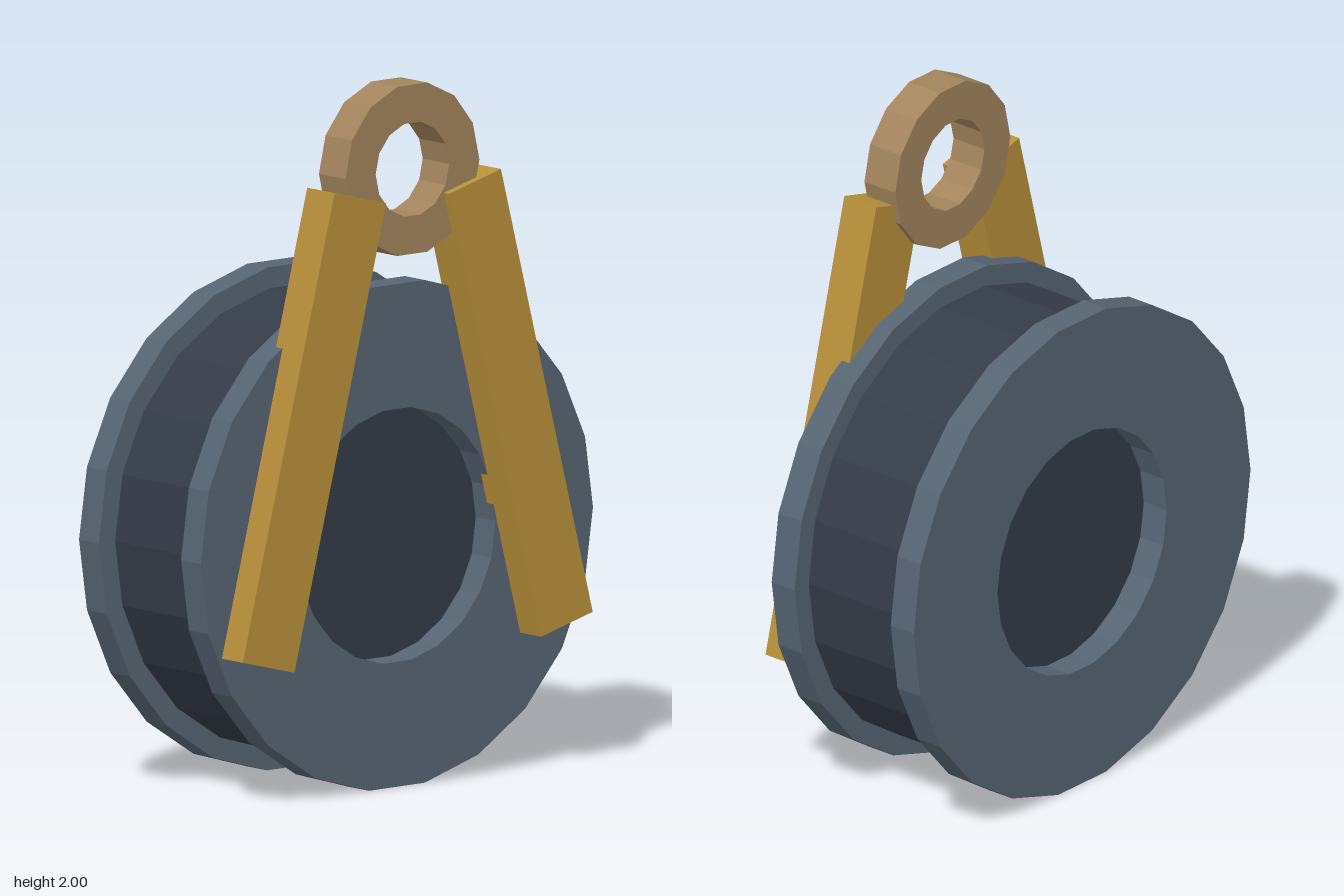
import * as THREE from 'three';

// Regular polygon outline with a corner on +x
function polygon(PathType, radius, sides) {
  const points = [];
  for (let i = 0; i < sides; i++) {
    const a = (i / sides) * Math.PI * 2;
    points.push(new THREE.Vector2(radius * Math.cos(a), radius * Math.sin(a)));
  }
  return new PathType(points);
}

// Faceted disc from zBack to zFront, with an optional round hole
function disc(radius, hole, sides, zBack, zFront) {
  const shape = polygon(THREE.Shape, radius, sides);
  if (hole > 0) shape.holes.push(polygon(THREE.Path, hole, sides));
  const geometry = new THREE.ExtrudeGeometry(shape, { depth: zFront - zBack, bevelEnabled: false });
  return geometry.translate(0, 0, zBack);
}

function material(name, color) {
  const m = new THREE.MeshStandardMaterial({ color });
  m.name = name;
  return m;
}

export function createModel() {
  const group = new THREE.Group();
  group.name = 'pulley';
  const steel = material('steel', 0x566472);
  const darkSteel = material('darkSteel', 0x343c48);
  const ochre = material('ochre', 0xb8903a);
  const bronze = material('bronze', 0xa2845c);

  const add = (name, geometry, mat, x, y) => {
    const mesh = new THREE.Mesh(geometry, mat);
    mesh.name = name;
    mesh.position.set(x, y, 0);
    group.add(mesh);
    return mesh;
  };

  // Wheel: dark drum between two flanges with open centres
  const axleY = 0.713;
  add('drum', disc(0.66, 0, 22, -0.222, 0.132), darkSteel, 0, axleY);
  add('frontFlange', disc(0.72, 0.362, 22, 0.132, 0.217), steel, 0, axleY);
  add('backFlange', disc(0.72, 0.362, 22, -0.307, -0.222), steel, 0, axleY);

  // Two leaning arms on the front
  for (const side of [-1, 1]) {
    const geometry = new THREE.BoxGeometry(0.196, 1.337, 0.118).translate(0, 0, 0.248);
    const arm = add(side > 0 ? 'leftArm' : 'rightArm', geometry, ochre, side * 0.379, 1.058);
    arm.rotation.z = side * THREE.MathUtils.degToRad(14.6);
  }

  // Hanging ring
  add('hangingRing', disc(0.246, 0.135, 14, 0.17, 0.284), bronze, 0, 1.76);

  return group;
}
